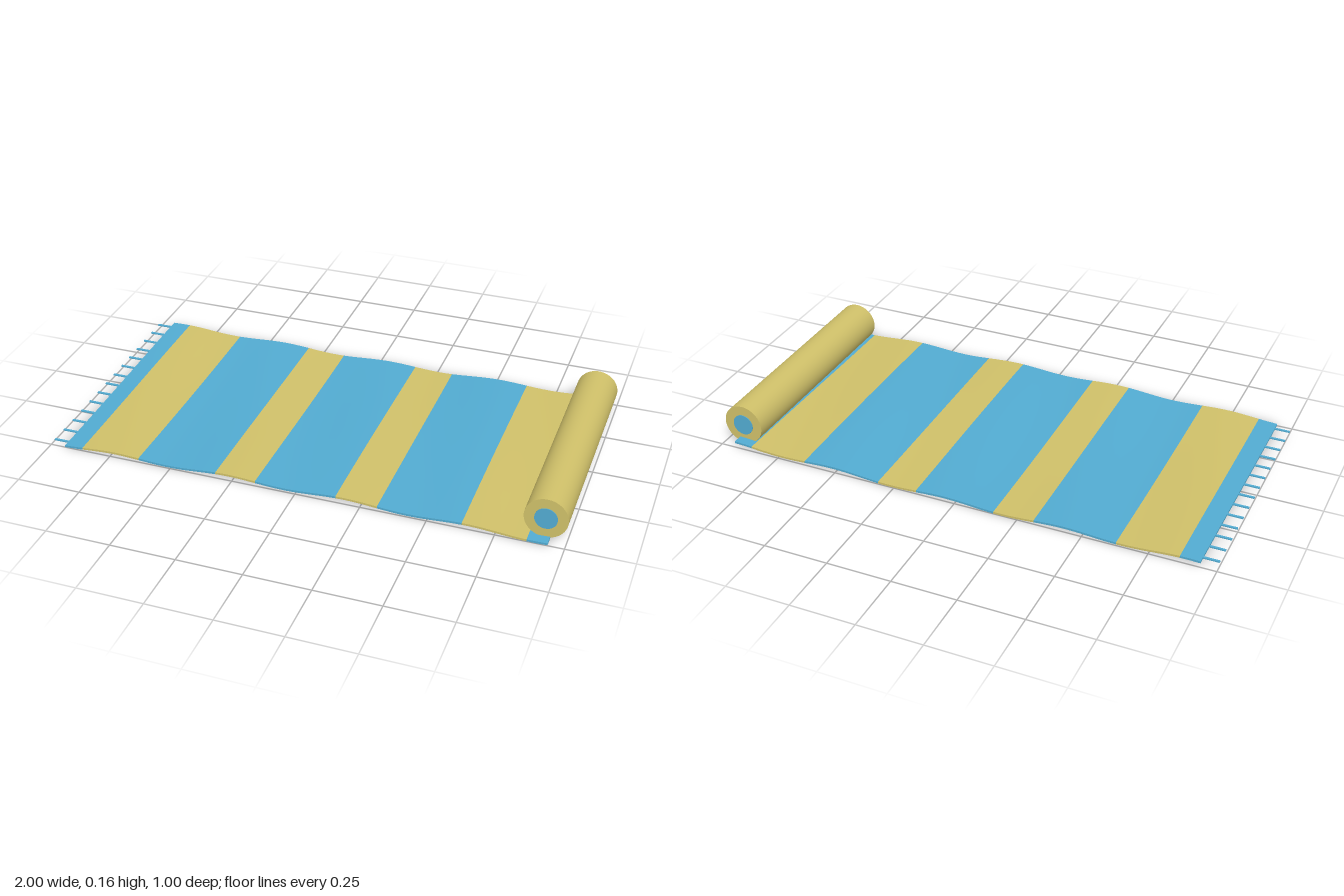
import * as THREE from 'three';

const blue = new THREE.MeshStandardMaterial({ name: 'sky blue', color: 0x52abd1 });
const sand = new THREE.MeshStandardMaterial({ name: 'sand yellow', color: 0xcfc069 });

const THICK = 0.008;

// Height of the cloth's centre at a point
const ripple = (x, z) =>
  0.0135 + 0.006 * Math.sin(13.6 * x - 2 * z) + 0.0035 * Math.sin(3 * x + 3 * z);

function addMesh(parent, name, geometry, material, x = 0, y = 0, z = 0) {
  const mesh = new THREE.Mesh(geometry, material);
  mesh.name = name;
  mesh.position.set(x, y, z);
  parent.add(mesh);
  return mesh;
}

// One cross stripe of cloth, bent over the ripples
function stripeGeometry(x0, x1) {
  const segments = Math.max(2, Math.round((x1 - x0) / 0.03));
  const geo = new THREE.BoxGeometry(x1 - x0, THICK, 1, segments, 1, 24);
  geo.translate((x0 + x1) / 2, 0, 0);
  const p = geo.attributes.position;
  for (let i = 0; i < p.count; i++) {
    p.setY(i, p.getY(i) + ripple(p.getX(i), p.getZ(i)));
  }
  geo.computeVertexNormals();
  return geo;
}

export function createModel() {
  const group = new THREE.Group();
  group.name = 'beachTowel';

  // Cloth in alternating stripes
  const cloth = new THREE.Group();
  cloth.name = 'cloth';
  group.add(cloth);
  const edges = [-0.94, -0.865, -0.63, -0.315, -0.157, 0.157, 0.315, 0.63, 0.865, 0.94];
  for (let i = 0; i < edges.length - 1; i++) {
    addMesh(cloth, 'stripe' + (i + 1), stripeGeometry(edges[i], edges[i + 1]), i % 2 ? sand : blue);
  }

  // Fringe along the loose end
  const fringe = new THREE.Group();
  fringe.name = 'fringe';
  group.add(fringe);
  const tassel = new THREE.BoxGeometry(0.065, 0.005, 0.009);
  for (let i = 0; i < 14; i++) {
    const z = -0.468 + i * 0.072;
    addMesh(fringe, 'tassel' + (i + 1), tassel, blue, -0.9675, ripple(-0.94, z), z);
  }

  // Rolled-up end with a blue core showing at both ends
  const roll = new THREE.Group();
  roll.name = 'roll';
  roll.position.set(0.92, 0.085, 0);
  group.add(roll);
  const body = new THREE.CylinderGeometry(0.08, 0.08, 0.92, 48).rotateX(Math.PI / 2);
  addMesh(roll, 'rollBody', body, sand);
  const core = new THREE.CylinderGeometry(0.042, 0.042, 0.004, 32).rotateX(Math.PI / 2);
  for (const side of [-1, 1]) {
    addMesh(roll, side > 0 ? 'frontCore' : 'backCore', core, blue, 0, 0, side * 0.461);
  }

  return group;
}
